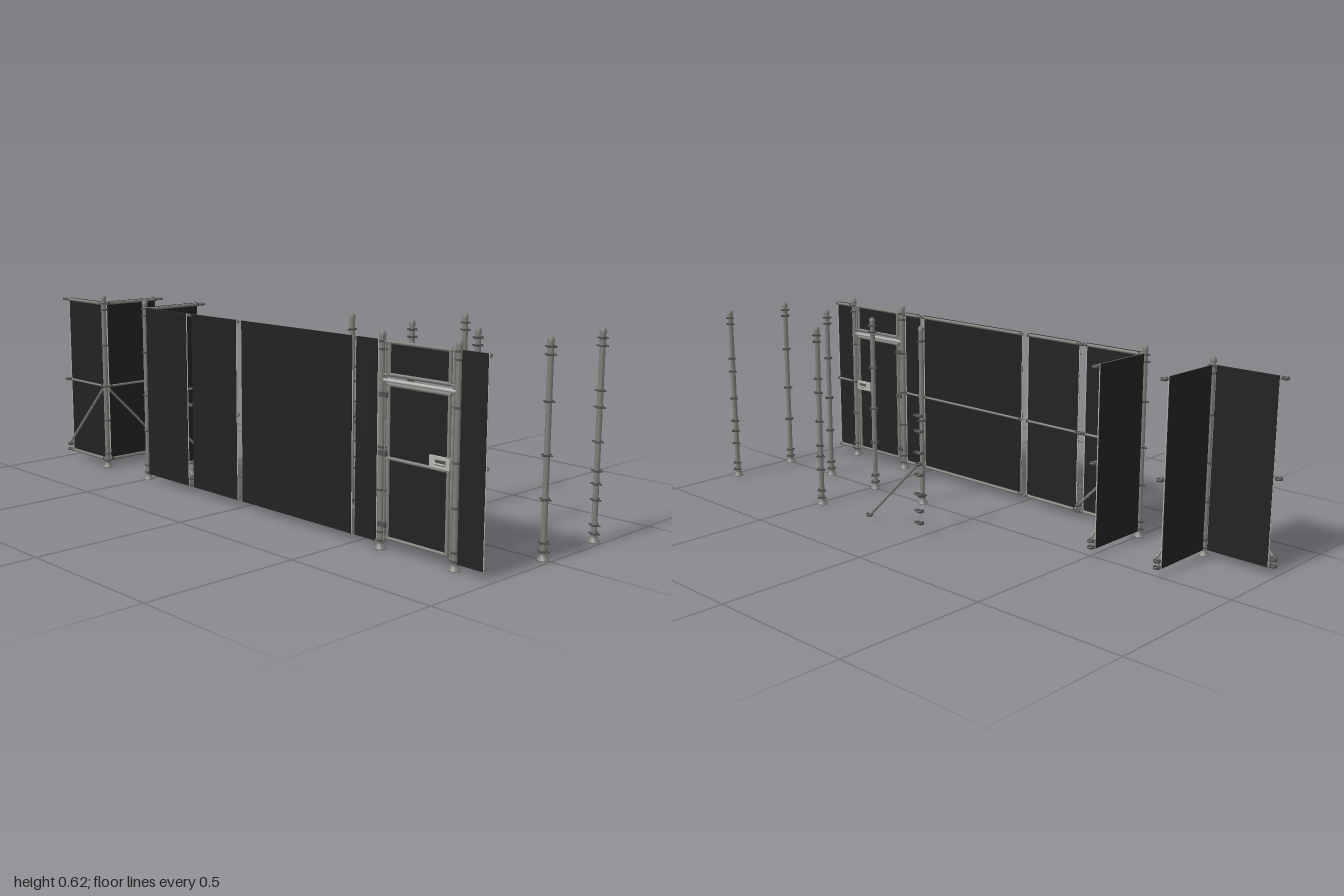
import * as THREE from 'three';

const mat = (name, color, extra = {}) => Object.assign(new THREE.MeshStandardMaterial({ color, ...extra }), { name });

export function createModel() {
  const steel = mat('steel', 0x7d7d79);
  const darkSteel = mat('dark steel', 0x50504e);
  const sheet = mat('black sheet', 0x222222);
  const light = mat('light metal', 0xb4b4b0);
  const model = new THREE.Group();
  model.name = 'fenceKit';
  const Z = 0.246;

  const add = (parent, name, geo, material, x = 0, y = 0, z = 0) => {
    const m = new THREE.Mesh(geo, material);
    m.name = name;
    m.position.set(x, y, z);
    parent.add(m);
    return m;
  };
  const group = (name, x, z, turn = 0) => {
    const g = new THREE.Group();
    g.name = name;
    g.position.set(x, 0, z);
    g.rotation.y = turn;
    model.add(g);
    return g;
  };
  // Straight pipe between two points
  const pipe = (parent, name, a, b, r, material = steel) => {
    const p = new THREE.Vector3(...a), q = new THREE.Vector3(...b);
    const d = q.clone().sub(p);
    const m = add(parent, name, new THREE.CylinderGeometry(r, r, d.length(), 10), material);
    m.position.copy(p).add(q).multiplyScalar(0.5);
    m.quaternion.setFromUnitVectors(new THREE.Vector3(0, 1, 0), d.normalize());
    return m;
  };
  // Open clamp ring, lying flat
  const ring = (parent, x, y, z = 0) => {
    const m = add(parent, 'clampRing', new THREE.TorusGeometry(0.0095, 0.0022, 6, 16), darkSteel, x, y, z);
    m.rotation.x = Math.PI / 2;
    m.scale.z = 2;
    return m;
  };

  // Post: flared foot, tube and domed cap in one profile
  const postGeo = new THREE.LatheGeometry([
    [0, 0], [0.018, 0], [0.018, 0.003], [0.013, 0.006], [0.0115, 0.014], [0.0085, 0.016],
    [0.0085, 0.603], [0.0098, 0.604], [0.0098, 0.614], [0.006, 0.62], [0, 0.6205],
  ].map(p => new THREE.Vector2(...p)), 14);
  const collarGeo = new THREE.CylinderGeometry(0.0105, 0.0105, 0.006, 14);
  const tabGeo = new THREE.BoxGeometry(0.01, 0.004, 0.006);
  const few = [0.025, 0.05, 0.172, 0.295, 0.443, 0.57, 0.592];
  const many = [0.025, 0.05, 0.125, 0.172, 0.21, 0.295, 0.395, 0.443, 0.57, 0.592];

  // Tabs point along the given angles around the post
  const post = (x, z, heights, angles) => {
    const g = group('post', x, z);
    add(g, 'postTube', postGeo, steel);
    for (const y of heights) {
      add(g, 'collar', collarGeo, darkSteel, 0, y, 0);
      for (const a of angles) {
        const t = add(g, 'collarTab', tabGeo, darkSteel, Math.cos(a) * 0.013, y, -Math.sin(a) * 0.013);
        t.rotation.y = a;
      }
    }
  };
  const H = Math.PI / 2;
  post(0.24, 0, [0.025, 0.295, 0.57], [H, -H]);
  for (const x of [0.485, 0.73, 0.975]) post(x, 0, few, [0, H, Math.PI, -H]);
  for (const x of [0.485, 0.975]) post(x, -Z, many, [0, H, Math.PI]);
  for (const x of [-0.745, -0.5, 0.595, 0.865]) post(x, Z, few, [0, H, Math.PI]);

  // Panel along local +x, with the rails on local +z and the sheet behind them
  const panel = (name, x, z, turn, len, { brace = 0, rings = [], from = 0.016, to = len - 0.016 } = {}) => {
    const g = group(name, x, z, turn);
    add(g, 'sheet', new THREE.BoxGeometry(to - from, 0.576, 0.003), sheet, (from + to) / 2, 0.309, -0.0055);
    const rails = [[0.028, 0.0055], [0.295, 0.004], [0.591, 0.0055]];
    for (const [y, r] of rails) {
      pipe(g, 'rail', [from - 0.004, y, 0], [to + 0.004, y, 0], r);
      for (const e of [from + 0.004, to - 0.004]) {
        add(g, 'railClip', new THREE.BoxGeometry(0.007, 0.01, 0.011), darkSteel, e, y, 0);
      }
    }
    for (const e of [from, to]) pipe(g, 'sheetEdge', [e, 0.022, -0.004], [e, 0.597, -0.004], 0.0018, light);
    for (const e of rings) for (const [y] of rails) ring(g, e, y);
    // Brace falls away from the post end: 1 = high at far end, -1 = high at near end
    if (brace) {
      const [hi, lo] = brace > 0 ? [len - 0.011, 0.008] : [0.011, len - 0.008];
      pipe(g, 'brace', [hi, 0.284, 0.006], [lo, 0.055, 0.006], 0.0045);
      ring(g, brace > 0 ? 0 : len, 0.048);
    }
    return g;
  };
  panel('endPanel', -0.985, Z, 0, 0.24, { brace: 1, rings: [0] });
  for (const x of [-0.745, -0.5]) panel('sidePanel', x, Z, H, Z, { brace: -1, rings: [Z] });
  // Wall panels carry their rails on the back
  const wall = (x0, x1, opt) => panel('wallPanel', x1, Z, Math.PI, x1 - x0, opt);
  wall(-0.5, -0.252, { brace: 1, rings: [0] });
  wall(-0.252, -0.005, { from: 0.014, to: 0.234 });
  wall(-0.005, 0.495, { from: 0.01, to: 0.487 });
  wall(0.495, 0.595, { from: 0.012, to: 0.094 });
  wall(0.865, 0.975, { from: 0.01, to: 0.095 });

  // Door bay between its two posts
  const door = group('doorBay', 0.73, Z);
  const frame = (name, w, y0, y1, r) => {
    for (const s of [-1, 1]) pipe(door, name, [s * w, y0, 0], [s * w, y1, 0], r);
    for (const y of [y0, y1]) pipe(door, name, [-w - r, y, 0], [w + r, y, 0], r);
  };
  frame('transomFrame', 0.107, 0.502, 0.592, 0.0055);
  add(door, 'transomSheet', new THREE.BoxGeometry(0.208, 0.086, 0.003), sheet, 0, 0.547, 0);
  frame('doorFrame', 0.107, 0.037, 0.474, 0.0055);
  add(door, 'doorSheet', new THREE.BoxGeometry(0.208, 0.43, 0.003), sheet, 0, 0.255, 0);
  pipe(door, 'doorRail', [-0.105, 0.268, 0.004], [0.105, 0.268, 0.004], 0.005);
  pipe(door, 'lintel', [-0.128, 0.485, 0], [0.128, 0.485, 0], 0.005, light);
  for (const y of [0.5, 0.592]) pipe(door, 'transomArm', [-0.135, y, 0], [0.135, y, 0], 0.004);
  for (const s of [-1, 1]) pipe(door, 'jamb', [s * 0.121, 0.022, 0], [s * 0.121, 0.597, 0], 0.0035);
  // Hinges on one side, latch plate and handle on the other
  for (const y of [0.075, 0.28, 0.445]) {
    add(door, 'hinge', new THREE.BoxGeometry(0.028, 0.014, 0.026), darkSteel, -0.121, y, 0);
  }
  add(door, 'latchPlate', new THREE.BoxGeometry(0.07, 0.034, 0.014), light, 0.08, 0.287, 0);
  for (const s of [-1, 1]) {
    add(door, 'latchInset', new THREE.BoxGeometry(0.034, 0.015, 0.003), darkSteel, 0.086, 0.287, s * 0.0085);
    pipe(door, 'handle', [0.06, 0.284, s * 0.012], [0.105, 0.284, s * 0.012], 0.0025, light);
  }

  // Loose parts: a stack of clamps and a spare brace
  const loose = group('looseParts', 0, -Z);
  for (const y of [0.048, 0.088, 0.143, 0.208, 0.28, 0.35, 0.4]) {
    ring(loose, -0.006, y);
    add(loose, 'clampBlock', new THREE.BoxGeometry(0.014, 0.006, 0.012), darkSteel, 0.009, y, 0);
  }
  pipe(loose, 'spareBrace', [0.01, 0.235, 0], [0.232, 0.022, 0], 0.0045);
  ring(loose, 0.24, 0.018);
  ring(loose, 0, 0.242);
  return model;
}
